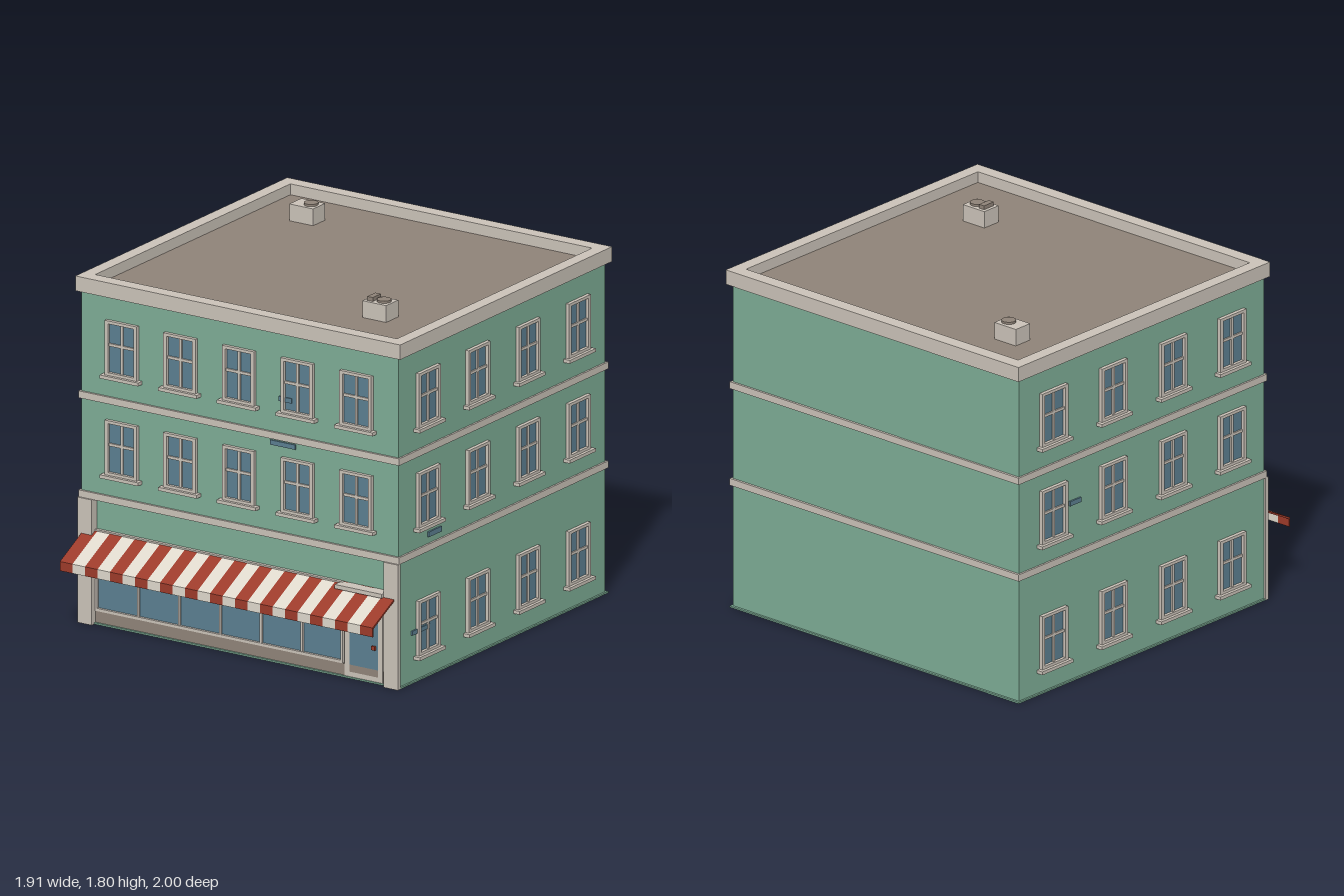
import * as THREE from 'three';

const mat = (name, color, side = THREE.FrontSide) => {
  const m = new THREE.MeshStandardMaterial({ color, side });
  m.name = name;
  return m;
};

export function createModel() {
  const green = mat('wall green', 0x7dac95);
  const trim = mat('stone trim', 0xcac2b8);
  const glass = mat('window blue', 0x5b7f90);
  const red = mat('awning red', 0x9c3a2a);
  const white = mat('awning white', 0xded8cc);
  const brown = mat('roof brown', 0x8f8378);

  const model = new THREE.Group();
  model.name = 'cornerShopBuilding';

  const add = (parent, name, geometry, material) => {
    const mesh = new THREE.Mesh(geometry, material);
    mesh.name = name;
    parent.add(mesh);
    return mesh;
  };
  // box given by its minimum and maximum on each axis
  const box = (parent, name, material, x0, x1, y0, y1, z0, z1) => {
    const mesh = add(parent, name, new THREE.BoxGeometry(x1 - x0, y1 - y0, z1 - z0), material);
    mesh.position.set((x0 + x1) / 2, (y0 + y1) / 2, (z0 + z1) / 2);
    return mesh;
  };
  const rect = (T, x0, x1, y0, y1) => new T([[x0, y0], [x1, y0], [x1, y1], [x0, y1]]
    .map(([x, y]) => new THREE.Vector2(x, y)));
  // rectangular ring lying in the xy plane
  const ring = (x0, x1, y0, y1, t, b, depth) => {
    const shape = rect(THREE.Shape, x0, x1, y0, y1);
    shape.holes.push(rect(THREE.Path, x0 + t, x1 - t, y0 + b, y1 - b));
    return new THREE.ExtrudeGeometry(shape, { depth, bevelEnabled: false });
  };

  // Walls: the ground floor is set back at the shopfront
  box(model, 'upperWalls', green, -0.92, 0.92, 0.635, 1.69, -0.973, 0.796);
  box(model, 'groundFloorWalls', green, -0.92, 0.92, 0, 0.635, -0.973, 0.77);
  box(model, 'basePlate', green, -0.93, 0.93, 0, 0.008, -0.985, 0.796);
  box(model, 'roof', brown, -0.89, 0.89, 1.685, 1.695, -0.95, 0.76);

  // Storey bands
  for (const y of [0.633, 1.134]) {
    box(model, 'storeyBand', trim, -0.93, 0.93, y, y + 0.035, -0.985, 0.808);
  }

  // Parapet ring
  const parapet = ring(-0.942, 0.942, -0.816, 1, 0.067, 0.072, 0.075);
  parapet.rotateX(-Math.PI / 2);
  add(model, 'parapet', parapet, trim).position.y = 1.675;

  // Sash window, built facing +z with its wall at z = 0
  const frameGeo = ring(-0.093, 0.093, 0, 0.277, 0.019, 0.015, 0.019);
  function sashWindow(parent, x, y) {
    const w = new THREE.Group();
    w.name = 'sashWindow';
    w.position.set(x, y, 0);
    add(w, 'windowFrame', frameGeo, trim);
    box(w, 'windowPane', glass, -0.076, 0.076, 0.013, 0.264, -0.002, 0.003);
    box(w, 'verticalBar', trim, -0.007, 0.007, 0.013, 0.264, 0, 0.011);
    box(w, 'crossBar', trim, -0.076, 0.076, 0.147, 0.161, 0, 0.011);
    box(w, 'windowSill', trim, -0.112, 0.112, -0.016, 0.001, 0, 0.035);
    parent.add(w);
  }
  const rows = [0.128, 0.775, 1.28];

  const front = new THREE.Group();
  front.name = 'frontWindows';
  front.position.z = 0.796;
  for (const y of rows.slice(1)) {
    for (let i = -2; i <= 2; i++) sashWindow(front, i * 0.34, y);
  }
  model.add(front);

  for (const s of [-1, 1]) {
    const side = new THREE.Group();
    side.name = s > 0 ? 'leftWindows' : 'rightWindows';
    side.position.x = s * 0.92;
    side.rotation.y = s * Math.PI / 2;
    for (const y of rows) {
      for (const z of [0.555, 0.13, -0.3, -0.73]) sashWindow(side, -s * z, y);
    }
    model.add(side);
  }

  // Small blue wall plates
  box(model, 'wallPlate', glass, 0.18, 0.325, 1.102, 1.126, 0.79, 0.805);
  box(model, 'wallPlate', glass, 0.23, 0.303, 1.332, 1.356, 0.79, 0.805);
  box(model, 'wallPlate', glass, 0.91, 0.929, 0.702, 0.728, 0.44, 0.55);
  box(model, 'wallPlate', glass, 0.91, 0.929, 0.242, 0.264, 0.54, 0.69);
  box(model, 'wallPlate', glass, -0.929, -0.91, 0.91, 0.934, -0.61, -0.53);

  // Shopfront corners and pilasters
  for (const s of [-1, 1]) {
    const span = (name, m, a, b, z0, z1) =>
      box(model, name, m, Math.min(s * a, s * b), Math.max(s * a, s * b), 0, 0.634, z0, z1);
    span('cornerWall', green, 0.88, 0.92, 0.76, 0.797);
    span('pilaster', trim, 0.847, 0.915, 0.765, 0.817);
    span('pilasterEdge', trim, 0.91, 0.93, 0.796, 0.817);
  }

  // Shop window
  box(model, 'kickPlate', brown, -0.85, 0.85, 0, 0.066, 0.765, 0.785);
  box(model, 'shopGlass', glass, -0.84, 0.585, 0.075, 0.465, 0.767, 0.774);
  add(model, 'shopWindowFrame', ring(-0.848, 0.588, 0.066, 0.478, 0.012, 0.014, 0.02), trim).position.z = 0.768;
  for (let i = 0; i < 5; i++) {
    const x = -0.6 + i * 0.2375;
    box(model, 'shopMullion', trim, x - 0.006, x + 0.006, 0.075, 0.47, 0.768, 0.785);
  }

  // Shop door
  box(model, 'doorPanel', trim, 0.602, 0.823, 0, 0.468, 0.768, 0.79);
  box(model, 'doorGlass', glass, 0.632, 0.797, 0.07, 0.445, 0.787, 0.793);
  box(model, 'doorKickPlate', brown, 0.632, 0.797, 0.034, 0.07, 0.787, 0.793);
  box(model, 'doorHandle', red, 0.765, 0.785, 0.17, 0.19, 0.79, 0.803);
  box(model, 'doorLintel', trim, 0.575, 0.847, 0.455, 0.476, 0.77, 0.835);

  // Striped awning with a hanging valance
  const awning = new THREE.Group();
  awning.name = 'awning';
  const profile = new THREE.Shape([[0.775, 0.467], [0.992, 0.355], [0.992, 0.315], [1, 0.315],
    [1, 0.362], [0.775, 0.477]].map(([z, y]) => new THREE.Vector2(z, y)));
  const stripes = 25, width = 1.814 / stripes;
  const stripeGeo = new THREE.ExtrudeGeometry(profile, { depth: width, bevelEnabled: false });
  stripeGeo.rotateY(-Math.PI / 2);
  for (let i = 0; i < stripes; i++) {
    add(awning, 'awningStripe', stripeGeo, i % 2 ? white : red).position.x = -0.907 + (i + 1) * width;
  }
  model.add(awning);

  // Rooftop ventilation units
  const fanGeo = new THREE.CylinderGeometry(0.035, 0.035, 0.014, 20);
  for (const [x, z] of [[-0.588, -0.648], [0.531, 0.379]]) {
    box(model, 'roofUnit', trim, x - 0.069, x + 0.069, 1.69, 1.78, z - 0.052, z + 0.052);
    add(model, 'roofUnitFan', fanGeo, brown).position.set(x + 0.022, 1.784, z);
  }
  box(model, 'roofUnitVent', brown, 0.479, 0.511, 1.775, 1.8, 0.345, 0.414);

  return model;
}
